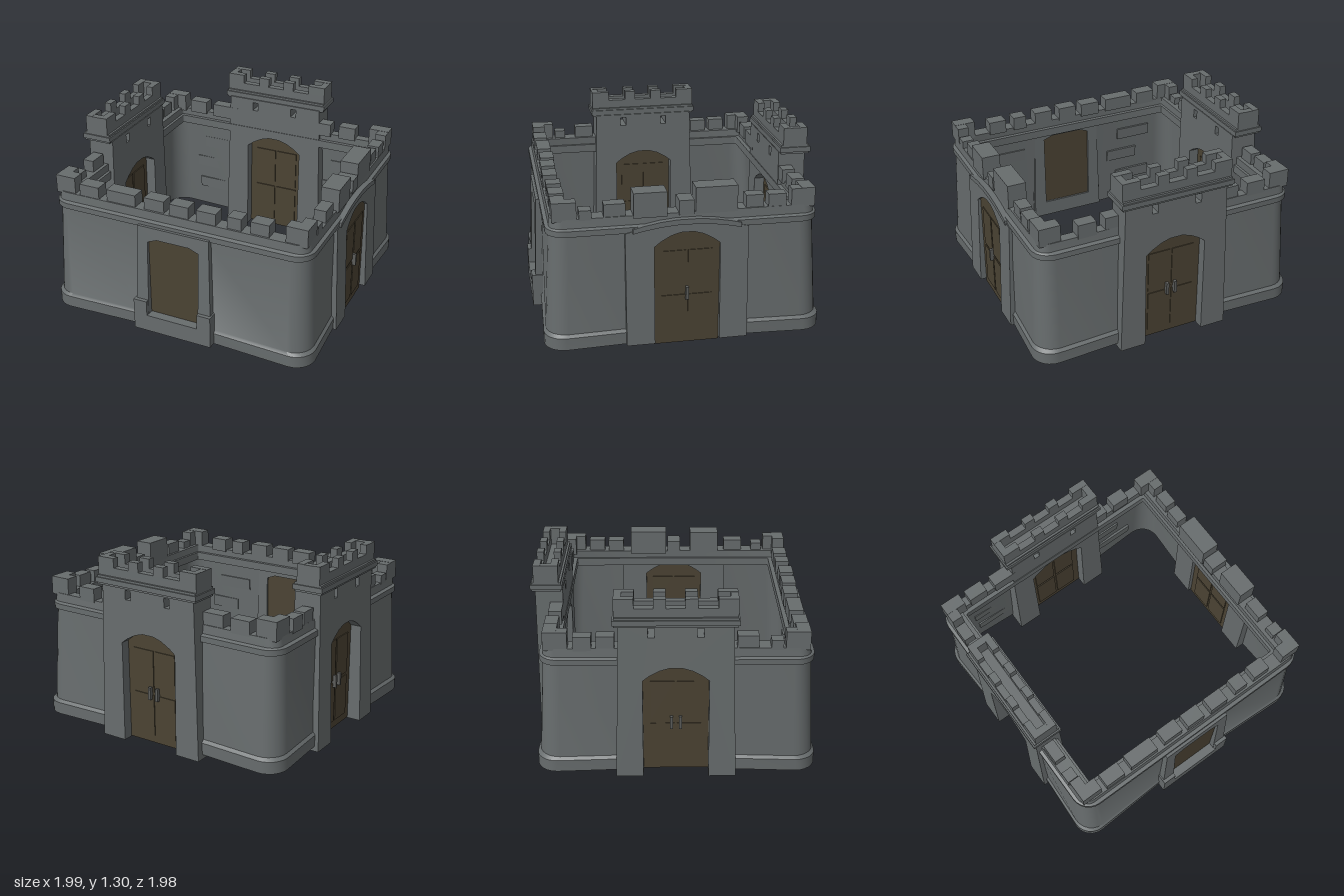
import * as THREE from 'three';
import { toCreasedNormals } from 'three/addons/utils/BufferGeometryUtils.js';

const stone = new THREE.MeshStandardMaterial({ color: 0x676c6d });
stone.name = 'grey stone';
const wood = new THREE.MeshStandardMaterial({ color: 0x4b4333 });
wood.name = 'dark wood';
const iron = new THREE.MeshStandardMaterial({ color: 0x5c5d5b });
iron.name = 'iron';

function add(parent, name, geo, mat = stone) {
  const mesh = new THREE.Mesh(toCreasedNormals(geo, 0.6), mat);
  mesh.name = name;
  parent.add(mesh);
  return mesh;
}

// Box given by its limits on each axis
function block(parent, name, x0, x1, y0, y1, z0, z1, mat) {
  const geo = new THREE.BoxGeometry(x1 - x0, y1 - y0, z1 - z0);
  geo.translate((x0 + x1) / 2, (y0 + y1) / 2, (z0 + z1) / 2);
  return add(parent, name, geo, mat);
}

function warp(geo, fn) {
  const p = geo.attributes.position;
  const v = new THREE.Vector3();
  for (let i = 0; i < p.count; i++) {
    fn(v.fromBufferAttribute(p, i));
    p.setXYZ(i, v.x, v.y, v.z);
  }
  geo.computeVertexNormals();
  return geo;
}

// Points of a flattened arch, from left to right
function archPoints(half, spring, top) {
  return [-1, -0.8, -0.5, -0.2, 0.2, 0.5, 0.8, 1].map(
    (t) => new THREE.Vector2(t * half, spring + (top - spring) * (1 - t * t)));
}

function extrude(shape, z0, z1) {
  const geo = new THREE.ExtrudeGeometry(shape, { depth: z1 - z0, bevelEnabled: false });
  return geo.translate(0, 0, z0);
}

function rectHole(x0, x1, y0, y1) {
  return new THREE.Path([[x0, y0], [x0, y1], [x1, y1], [x1, y0]].map(([x, y]) => new THREE.Vector2(x, y)));
}

// Gate outline: a wall face with an arched opening reaching the ground
function gateShape(half, y0, topPoints, spring, crown) {
  return new THREE.Shape([
    new THREE.Vector2(-half, y0), new THREE.Vector2(-0.22, y0),
    ...archPoints(0.22, spring, crown),
    new THREE.Vector2(0.22, y0), new THREE.Vector2(half, y0),
    ...topPoints.slice().reverse(),
  ]);
}

// Wall: a closed profile carried round a rounded rectangle, drawn in slightly
// at the base and left open below the cornice in the middle of each side
function wallRing() {
  // y, half width, front, back, corner radius
  const rows = [
    [0.035, 0.99, 0.95, 0.945, 0.14], [0.12, 0.99, 0.95, 0.945, 0.14],
    [0.14, 0.972, 0.935, 0.925, 0.14], [0.82, 0.942, 0.895, 0.88, 0.12],
    [0.825, 0.958, 0.915, 0.9, 0.13], [0.865, 0.958, 0.915, 0.9, 0.13],
    [0.875, 0.935, 0.89, 0.875, 0.08], [0.935, 0.93, 0.885, 0.87, 0.08],
    [0.935, 0.82, 0.785, 0.8, 0.01], [0.88, 0.82, 0.785, 0.8, 0.01],
    [0.88, 0.8, 0.755, 0.77, 0.01], [0.82, 0.8, 0.755, 0.77, 0.01],
    [0.82, 0.915, 0.868, 0.853, 0.12], [0.035, 0.962, 0.922, 0.917, 0.14],
  ];
  const lowerRows = [0, 1, 2, 12, 13];
  const pos = [], idx = [], seg = 6, gap = 0.24, side = seg + 3, n = 4 * side;
  for (const [y, hx, zf, zb, r] of rows) {
    const pinch = Math.max(0, 0.03 * (1 - y / 0.82));
    const sx = hx - pinch, sf = zf - pinch, sb = pinch - zb;
    const edges = [[gap, sf, -gap, sf], [-sx, gap, -sx, -gap], [-gap, sb, gap, sb], [sx, -gap, sx, gap]];
    for (let c = 0; c < 4; c++) {
      const cx = (c === 0 || c === 3 ? 1 : -1) * (hx - r);
      const cz = c < 2 ? zf - r : -zb + r;
      for (let s = 0; s <= seg; s++) {
        const a = (c + s / seg) * Math.PI / 2;
        pos.push(cx + r * Math.cos(a), y, cz + r * Math.sin(a));
      }
      const [xa, za, xb, zc] = edges[c];
      pos.push(xa, y, za, xb, y, zc);
    }
  }
  for (let i = 0; i < rows.length; i++) {
    const k = (i + 1) % rows.length;
    for (let j = 0; j < n; j++) {
      if (j % side === seg + 1 && lowerRows.includes(i)) continue;
      const m = (j + 1) % n;
      idx.push(i * n + j, k * n + j, k * n + m, i * n + j, k * n + m, i * n + m);
    }
  }
  const geo = new THREE.BufferGeometry();
  geo.setAttribute('position', new THREE.Float32BufferAttribute(pos, 3));
  geo.setIndex(idx);
  return geo;
}

// Arched plank door, panelled on both faces
function door(parent, z0, z1, handles) {
  const g = new THREE.Group();
  g.name = 'door';
  parent.add(g);
  const outline = new THREE.Shape([
    new THREE.Vector2(0.222, 0.005), new THREE.Vector2(-0.222, 0.005), ...archPoints(0.222, 0.72, 0.817)]);
  add(g, 'doorLeaf', extrude(outline, z0, z1), wood);
  for (const s of [-1, 1]) {
    for (const [y0, y1] of [[0.06, 0.36], [0.38, 0.68]]) {
      const x0 = s > 0 ? 0.008 : -0.17;
      block(g, 'doorPanel', x0, x0 + 0.162, y0, y1, z1, z1 + 0.006, wood);
      block(g, 'innerDoorPanel', x0, x0 + 0.162, y0, y1, z0 - 0.008, z0, wood);
    }
  }
  for (const x of handles) block(g, 'doorHandle', x - 0.01, x + 0.01, 0.33, 0.42, z1, z1 + 0.03, iron);
}

// Gate tower facing local +z; flare spreads its foot outwards
function tower(parent, flare) {
  const g = new THREE.Group();
  g.name = 'gateTower';
  parent.add(g);
  const shape = gateShape(0.405, 0, [new THREE.Vector2(-0.405, 1.12), new THREE.Vector2(0.405, 1.12)], 0.72, 0.815);
  for (const x of [-0.16, 0.16]) shape.holes.push(rectHole(x - 0.022, x + 0.022, 1.03, 1.095));
  add(g, 'towerBody', warp(extrude(shape, 0.775, 0.965), (v) => {
    if (Math.abs(v.x) > 0.3) v.x *= 1 - 0.07 * v.y;
    if (v.z > 0.9) v.z += flare * (1 - v.y / 1.12);
  }));
  door(g, 0.85, 0.9, [-0.03, 0.03]);
  // String course and deck
  block(g, 'cornice', -0.41, 0.41, 1.125, 1.16, 0.775, 0.995);
  block(g, 'corniceFillet', -0.4, 0.4, 1.11, 1.175, 0.785, 0.985);
  // Parapet with merlons on every edge
  for (const [z0, z1] of [[0.8, 0.85], [0.92, 0.97]]) {
    block(g, 'parapet', -0.4, 0.4, 1.17, 1.235, z0, z1);
    for (const x of [-0.105, 0.1]) block(g, 'merlon', x - 0.04, x + 0.04, 1.23, 1.3, z0, z1);
    for (const s of [-1, 1]) block(g, 'cornerMerlon', s * 0.335 - 0.065, s * 0.335 + 0.065, 1.23, 1.3, z0, z1);
  }
  for (const s of [-1, 1]) block(g, 'endMerlon', s * 0.375 - 0.025, s * 0.375 + 0.025, 1.17, 1.298, 0.81, 0.96);
}

// Merlons along one wall: centre, width, top
function merlons(parent, list, z0, z1) {
  list.forEach(([x, w, top], i) => {
    const m = block(parent, 'merlon', -w / 2, w / 2, 0.92, top, z0, z1);
    m.position.x = x;
    m.position.z = 0.006 * Math.cos(i * 1.7);
  });
}

export function createModel() {
  const root = new THREE.Group();
  root.name = 'castleWalls';
  add(root, 'curtainWall', wallRing());

  const [front, right, back, left] = ['frontWall', 'rightWall', 'backWall', 'leftWall'].map((name, i) => {
    const g = new THREE.Group();
    g.name = name;
    g.rotation.y = i * Math.PI / 2;
    root.add(g);
    return g;
  });

  // Front: window bay with boarded window
  const bay = new THREE.Shape([[-0.29, 0.04], [0.29, 0.04], [0.265, 0.84], [-0.265, 0.84]].map(([x, y]) => new THREE.Vector2(x, y)));
  bay.holes.push(new THREE.Path([[0.19, 0.16], [-0.19, 0.16], [-0.19, 0.73], [-0.12, 0.757], [0.12, 0.757], [0.19, 0.73]].map(([x, y]) => new THREE.Vector2(x, y))));
  add(front, 'windowBay', warp(extrude(bay, 0.865, 0.935), (v) => {
    if (v.z > 0.9) v.z += 0.035 * (1 - v.y / 0.84);
  }));
  block(front, 'windowBoard', -0.195, 0.195, 0.155, 0.76, 0.88, 0.92, wood);
  block(front, 'windowSill', -0.2, 0.2, 0.04, 0.165, 0.88, 0.985);
  for (const s of [-1, 1]) block(front, 'windowJamb', s * 0.243 - 0.05, s * 0.243 + 0.05, 0.04, 0.275, 0.88, 0.985);
  merlons(front, [[-0.665, 0.15, 1.02], [-0.42, 0.22, 1.02], [-0.17, 0.15, 1.02], [0.02, 0.14, 1.02],
    [0.22, 0.14, 1.02], [0.42, 0.1, 1.02], [0.6, 0.13, 1.02]], 0.775, 0.875);

  // Right: arched door bay under a bowed cornice
  const crest = archPoints(0.41, 0.825, 0.88);
  add(right, 'doorBay', warp(extrude(gateShape(0.41, 0.03, crest, 0.72, 0.815), 0.875, 0.962), (v) => {
    if (v.z > 0.9) v.z += 0.033 * (1 - v.y / 0.9);
  }));
  const bow = new THREE.Shape([...archPoints(0.36, 0.822, 0.868), ...archPoints(0.36, 0.855, 0.905).reverse()]);
  add(right, 'bowedCornice', extrude(bow, 0.88, 0.975));
  door(right, 0.905, 0.95, [0]);
  merlons(right, [[-0.66, 0.08, 0.99], [-0.47, 0.14, 1.02], [0.46, 0.12, 1.02], [0.61, 0.12, 1.02]], 0.84, 0.925);
  merlons(right, [[-0.24, 0.22, 1.09], [0, 0.1, 1.02], [0.2, 0.28, 1.1]], 0.81, 0.94);

  // Back and left: gate towers with short wall runs beside them
  tower(back, 0.008);
  tower(left, 0.035);
  merlons(back, [[-0.6, 0.13, 1.02], [-0.42, 0.1, 1.02], [0.42, 0.22, 1.02], [0.665, 0.14, 1.02]], 0.78, 0.87);
  merlons(left, [[-0.61, 0.12, 1.02], [-0.46, 0.12, 1.02], [0.47, 0.14, 1.02], [0.66, 0.08, 0.99]], 0.85, 0.93);

  // Raised L-shaped merlons on the four corners
  for (const sx of [-1, 1]) {
    for (const [z, sz] of [[0.875, 1], [-0.865, -1]]) {
      const corner = new THREE.Group();
      corner.name = 'cornerMerlon';
      corner.position.set(sx * 0.93, 0, z);
      root.add(corner);
      const span = (s, len) => (s > 0 ? [-len, 0] : [0, len]);
      block(corner, 'cornerArm', ...span(sx, 0.15), 0.92, 1.05, ...span(sz, 0.09));
      block(corner, 'cornerReturn', ...span(sx, 0.08), 0.92, 1.048, ...span(sz, 0.16));
    }
  }

  // Thin courses of stone showing on the inner faces
  for (const [x, y, w] of [[-0.6, 0.25, 0.3], [-0.5, 0.45, 0.26], [-0.6, 0.64, 0.28], [0.55, 0.25, 0.3], [0.6, 0.45, 0.24], [0.5, 0.64, 0.28]]) {
    for (const g of [front, back]) {
      const z = (g === front ? 0.907 : 0.902) - 0.053 * (y - 0.035);
      const course = block(g, 'innerStone', -w / 2, w / 2, -0.045, 0.045, -0.01, 0.007);
      course.position.set(x, y, z);
      course.rotation.x = -0.06;
    }
  }
  return root;
}
